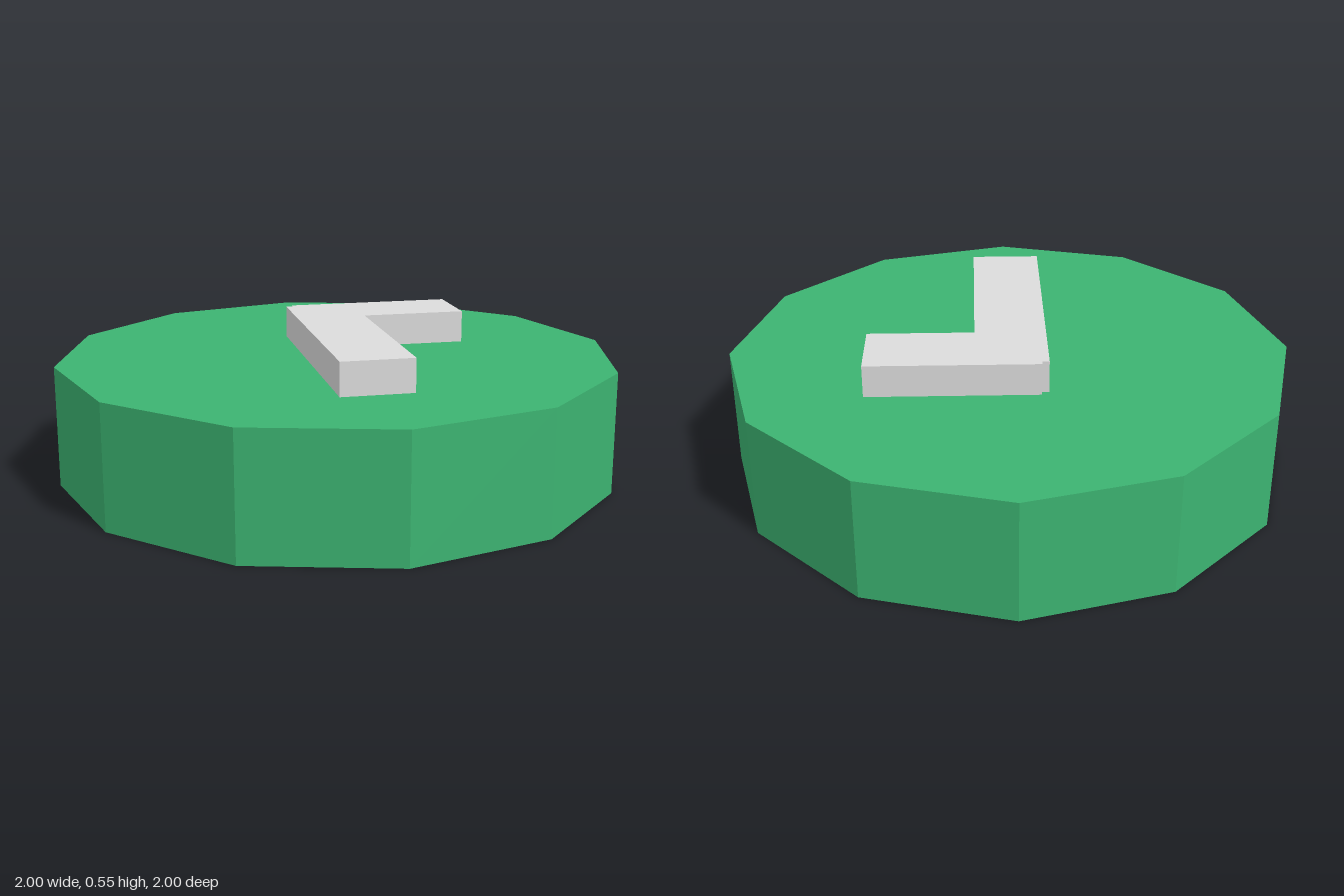
import * as THREE from 'three';

export function createModel() {
  const model = new THREE.Group();
  model.name = 'clockDisc';
  const green = new THREE.MeshStandardMaterial({ name: 'green', color: 0x3cb371, flatShading: true });
  const lightGrey = new THREE.MeshStandardMaterial({ name: 'lightGrey', color: 0xdcdcdc, flatShading: true });

  // Twelve-sided disc, corners on the axes
  const discHeight = 0.43;
  const disc = new THREE.Mesh(new THREE.CylinderGeometry(1, 1, discHeight, 12), green);
  disc.name = 'disc';
  disc.position.y = discHeight / 2;
  model.add(disc);

  // Raised hands: one L-shaped outline (x, -z) with a small notch at the back corner
  const outline = [
    [-0.125, -0.605], [0.125, -0.605], [0.125, 0.09], [0.5, 0.09],
    [0.5, 0.34], [-0.1, 0.34], [-0.1, 0.32], [-0.125, 0.32],
  ].map(([x, y]) => new THREE.Vector2(x, y));
  const hands = new THREE.Mesh(
    new THREE.ExtrudeGeometry(new THREE.Shape(outline), { depth: 0.115, bevelEnabled: false }),
    lightGrey,
  );
  hands.name = 'hands';
  hands.rotation.x = -Math.PI / 2;
  hands.position.y = discHeight;
  model.add(hands);

  return model;
}
